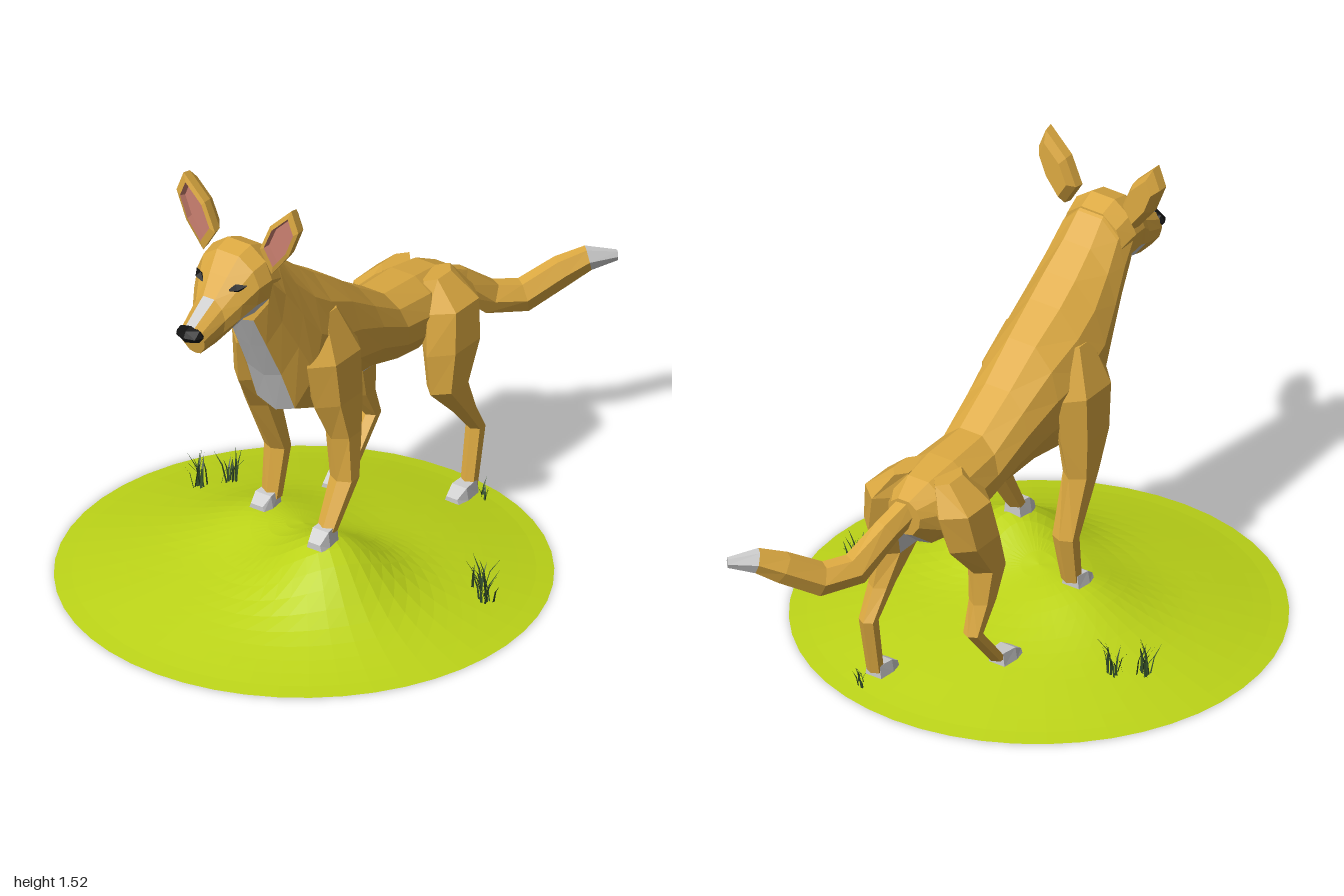
import * as THREE from 'three';

const V = (x, y, z) => new THREE.Vector3(x, y, z);
const mat = (color, side = THREE.FrontSide) =>
  new THREE.MeshStandardMaterial({ color, flatShading: true, side });
const mats = {
  tan: mat(0xdca941), grey: mat(0xcccccc), pink: mat(0xcb8070), black: mat(0x111111),
  hill: mat(0xbcd418, THREE.DoubleSide), grass: mat(0x35502a, THREE.DoubleSide),
};

function triMesh(name, points, material) {
  const g = new THREE.BufferGeometry().setFromPoints(points);
  g.computeVertexNormals();
  const m = new THREE.Mesh(g, material);
  m.name = name;
  return m;
}

// Closed faceted skin over a row of loops; pick(row, column) names the colour of a face.
function loft(name, loops, pick = () => 'tan', capColors = ['tan', 'tan']) {
  const tris = [], n = loops[0].length;
  for (let i = 0; i < loops.length - 1; i++)
    for (let j = 0; j < n; j++) {
      const k = (j + 1) % n, a = loops[i], b = loops[i + 1], c = pick(i, j);
      tris.push([c, a[j], a[k], b[k]], [c, a[j], b[k], b[j]]);
    }
  [loops[0], loops[loops.length - 1]].forEach((loop, end) => {
    const mid = loop.reduce((s, p) => s.add(p), V(0, 0, 0)).divideScalar(n);
    loop.forEach((p, j) => {
      const q = loop[(j + 1) % n];
      tris.push(end ? [capColors[1], mid, p, q] : [capColors[0], mid, q, p]);
    });
  });
  // A negative volume means the skin is inside out.
  const volume = tris.reduce((s, [, a, b, c]) => s + a.dot(b.clone().cross(c)), 0);
  const byColor = {};
  for (const [c, p, q, r] of tris)
    (byColor[c] ??= []).push(...(volume < 0 ? [p, r, q] : [p, q, r]));
  const group = new THREE.Group();
  group.name = name;
  for (const c in byColor) group.add(triMesh(`${name}-${c}`, byColor[c], mats[c]));
  return group;
}

// Body cross-section between a top and a bottom point: right half, then mirrored.
const half = [[0.45, -0.9], [0.9, -0.35], [1, 0.2], [0.8, 0.65], [0.35, 0.97]];
const profile = [...half, ...half.map(([x, y]) => [-x, y]).reverse(), [0, -1]];
const bodyRing = ([tz, ty, bz, by, w]) => profile.map(([x, t]) =>
  V(x * w, (ty + by) / 2 + t * (ty - by) / 2, (tz + bz) / 2 + t * (tz - bz) / 2));
const UNDER = j => j >= 9, TOP = j => j === 4;

function makeBody() {
  // top z, top y, bottom z, bottom y, half width
  const rings = [
    [-0.50, 0.77, -0.49, 0.64, 0.06], [-0.42, 0.81, -0.42, 0.58, 0.11],
    [-0.30, 0.83, -0.30, 0.56, 0.13], [-0.14, 0.84, -0.20, 0.57, 0.12],
    [0.00, 0.93, -0.06, 0.61, 0.13], [0.13, 1.03, 0.10, 0.62, 0.145],
    [0.25, 1.11, 0.25, 0.60, 0.16], [0.33, 1.17, 0.37, 0.65, 0.16],
    [0.42, 1.24, 0.43, 0.80, 0.145], [0.49, 1.31, 0.50, 0.94, 0.13],
    [0.55, 1.34, 0.56, 1.06, 0.12]];
  return loft('body', rings.map(bodyRing), (i, j) => (UNDER(j) ? 'grey' : 'tan'));
}

function makeHead() {
  const head = new THREE.Group();
  head.name = 'head';
  const rings = [
    [0.50, 1.32, 0.50, 1.07, 0.115], [0.56, 1.345, 0.56, 1.09, 0.125],
    [0.62, 1.33, 0.61, 1.095, 0.118], [0.67, 1.275, 0.67, 1.075, 0.092],
    [0.72, 1.215, 0.72, 1.055, 0.062], [0.82, 1.155, 0.79, 1.05, 0.046]];
  head.add(loft('skull', rings.map(bodyRing), (i, j) =>
    (i < 3 && (UNDER(j) || j === 0 || j === 8)) || (i === 4 && TOP(j)) ? 'grey' : 'tan'));

  const nose = new THREE.Mesh(new THREE.OctahedronGeometry(1, 1), mats.black);
  nose.name = 'nose';
  nose.scale.set(0.05, 0.028, 0.035);
  nose.position.set(0, 1.13, 0.818);
  head.add(nose);

  for (const s of [1, -1]) {
    const eye = new THREE.Mesh(new THREE.OctahedronGeometry(1), mats.black);
    eye.name = 'eye';
    eye.scale.set(0.034, 0.016, 0.016);
    eye.position.set(s * 0.07, 1.245, 0.668);
    eye.rotation.set(0, s * 0.6, s * 0.3);
    head.add(eye);

    // Ear: narrow back, outer rim, inner rim, recessed lining
    const rim = [[0.085, 1.345], [0.125, 1.44], [0.205, 1.52], [0.232, 1.45], [0.195, 1.355], [0.13, 1.27]];
    const loop = (k, z) => rim.map(([x, y]) =>
      V(s * (0.162 + (x - 0.162) * k), 1.395 + (y - 1.395) * k, z));
    head.add(loft('ear', [loop(0.7, 0.515), loop(0.95, 0.54), loop(1, 0.57), loop(0.76, 0.575), loop(0.68, 0.555)],
      i => (i === 3 ? 'pink' : 'tan'), ['tan', 'pink']));
  }
  return head;
}

// Leg from rings [x, y, z, half width, half depth]; column 2 faces inward.
function makeLeg(name, s, rings, greyRows, paw) {
  const loops = rings.map(([x, y, z, rx, rz]) => Array.from({ length: 6 }, (_, j) => {
    const a = (j * 60 + 30) * Math.PI / 180;
    return V(s * (x + Math.cos(a) * rx * 1.12), y, z + Math.sin(a) * rz);
  }));
  const leg = loft(name, loops, (i, j) => (greyRows.includes(i) && j === 2 ? 'grey' : 'tan'));
  // Wedge paw, lower towards the toes
  const [x, y, z, w, h, d] = paw;
  const slice = (dz, top, k) => [[-k, 0], [k, 0], [k * 0.8, top], [-k * 0.8, top]]
    .map(([px, py]) => V(s * (x + px * w / 2), y + py * h, z + dz * d));
  leg.add(loft('paw', [slice(-0.5, 1, 0.85), slice(0.1, 0.9, 1), slice(0.5, 0.35, 0.75)],
    () => 'grey', ['grey', 'grey']));
  return leg;
}

function makeLegs() {
  const shoulder = [[0.11, 1.0, 0.27, 0.03, 0.06], [0.135, 0.85, 0.26, 0.065, 0.13],
    [0.145, 0.7, 0.25, 0.06, 0.115]];
  return [
    makeLeg('frontLegLeft', 1, [...shoulder, [0.165, 0.57, 0.24, 0.046, 0.065],
      [0.18, 0.42, 0.255, 0.042, 0.042], [0.178, 0.27, 0.345, 0.03, 0.03]], [],
    [0.178, 0.23, 0.37, 0.075, 0.06, 0.085]),
    makeLeg('frontLegRight', -1, [...shoulder, [0.158, 0.57, 0.22, 0.046, 0.065],
      [0.155, 0.37, 0.145, 0.04, 0.036], [0.155, 0.2, 0.175, 0.03, 0.03]], [],
    [0.16, 0.18, 0.205, 0.075, 0.045, 0.085]),
    makeLeg('hindLegLeft', 1, [[0.07, 0.81, -0.38, 0.03, 0.07], [0.12, 0.73, -0.38, 0.07, 0.12],
      [0.14, 0.6, -0.36, 0.065, 0.13], [0.155, 0.47, -0.32, 0.048, 0.09],
      [0.16, 0.36, -0.39, 0.036, 0.048], [0.16, 0.26, -0.46, 0.028, 0.03],
      [0.16, 0.06, -0.425, 0.025, 0.025]], [1, 2], [0.16, 0.04, -0.385, 0.07, 0.045, 0.1]),
    makeLeg('hindLegRight', -1, [[0.07, 0.81, -0.36, 0.03, 0.07], [0.12, 0.73, -0.36, 0.07, 0.12],
      [0.14, 0.6, -0.33, 0.062, 0.12], [0.145, 0.47, -0.26, 0.048, 0.07],
      [0.15, 0.36, -0.29, 0.036, 0.048], [0.15, 0.26, -0.34, 0.028, 0.03],
      [0.15, 0.11, -0.215, 0.025, 0.028]], [1, 2], [0.15, 0.085, -0.165, 0.07, 0.045, 0.1]),
  ];
}

function makeTail() {
  // x, y, z, radius
  const path = [[0, 0.73, -0.45, 0.045], [0.02, 0.68, -0.56, 0.046], [0.06, 0.585, -0.67, 0.052],
    [0.125, 0.57, -0.76, 0.052], [0.2, 0.635, -0.86, 0.048], [0.255, 0.67, -0.92, 0.038],
    [0.32, 0.672, -0.985, 0.016]];
  const pts = path.map(([x, y, z]) => V(x, y, z));
  const loops = path.map(([, , , r], i) => {
    const t = pts[Math.min(i + 1, 6)].clone().sub(pts[Math.max(i - 1, 0)]).normalize();
    const side = t.clone().cross(V(0, 1, 0)).normalize(), up = side.clone().cross(t);
    return Array.from({ length: 6 }, (_, j) => pts[i].clone()
      .addScaledVector(side, Math.cos(j * Math.PI / 3) * r * 0.85)
      .addScaledVector(up, Math.sin(j * Math.PI / 3) * r * 1.1));
  });
  return loft('tail', loops, (i, j) => (i === 5 || (i < 3 && j === 4) ? 'grey' : 'tan'), ['tan', 'grey']);
}

// Mound with one rise under each front paw
function hillHeight(x, z) {
  const d2 = Math.min(1, (x / 0.77) ** 2 + ((z - 0.22) / 0.775) ** 2);
  const bump = (cx, cz, h) => h * Math.exp(-((x - cx) ** 2 + (z - cz) ** 2) / 0.039);
  const edge = Math.min(1, (1 - d2) * 3);
  return 0.115 * (1 - d2) ** 1.3 + edge * (bump(0.2, 0.36, 0.14) + bump(-0.17, 0.2, 0.06));
}

function makeHill() {
  const g = new THREE.RingGeometry(0.0001, 1, 48, 14);
  g.rotateX(-Math.PI / 2);
  const p = g.attributes.position;
  for (let i = 0; i < p.count; i++) {
    const x = p.getX(i) * 0.77, z = p.getZ(i) * 0.775 + 0.22;
    p.setXYZ(i, x, hillHeight(x, z), z);
  }
  g.computeVertexNormals();
  const hill = new THREE.Mesh(g, mats.hill);
  hill.name = 'hill';
  return hill;
}

// Bent, pointed blades fanning out of each clump
function makeGrass() {
  let seed = 7;
  const rnd = () => (seed = (seed * 16807) % 2147483647) / 2147483647;
  const points = [];
  for (const [cx, cz, h, count] of [[-0.52, 0.05, 0.13, 14], [-0.45, -0.01, 0.12, 12],
    [0.54, 0.04, 0.11, 12], [0.59, 0.08, 0.12, 12], [0.19, -0.46, 0.06, 8]])
    for (let i = 0; i < count; i++) {
      const a = rnd() * Math.PI * 2, tall = h * (0.55 + rnd() * 0.45), lean = tall * (0.15 + rnd() * 0.4);
      const x = cx + (rnd() - 0.5) * 0.04, z = cz + (rnd() - 0.5) * 0.04, y = hillHeight(x, z) - 0.005;
      const at = (out, up, w) => V(x + Math.cos(a) * out - Math.sin(a) * w, y + up, z + Math.sin(a) * out + Math.cos(a) * w);
      const l = at(0, 0, -0.004), r = at(0, 0, 0.004);
      const ml = at(lean * 0.35, tall * 0.6, -0.003), mr = at(lean * 0.35, tall * 0.6, 0.003);
      points.push(l, r, mr, l, mr, ml, ml, mr, at(lean, tall, 0));
    }
  return triMesh('grass', points, mats.grass);
}

export function createModel() {
  const model = new THREE.Group();
  model.name = 'wildDogOnHill';
  model.add(makeBody(), makeHead(), ...makeLegs(), makeTail(), makeHill(), makeGrass());
  return model;
}
